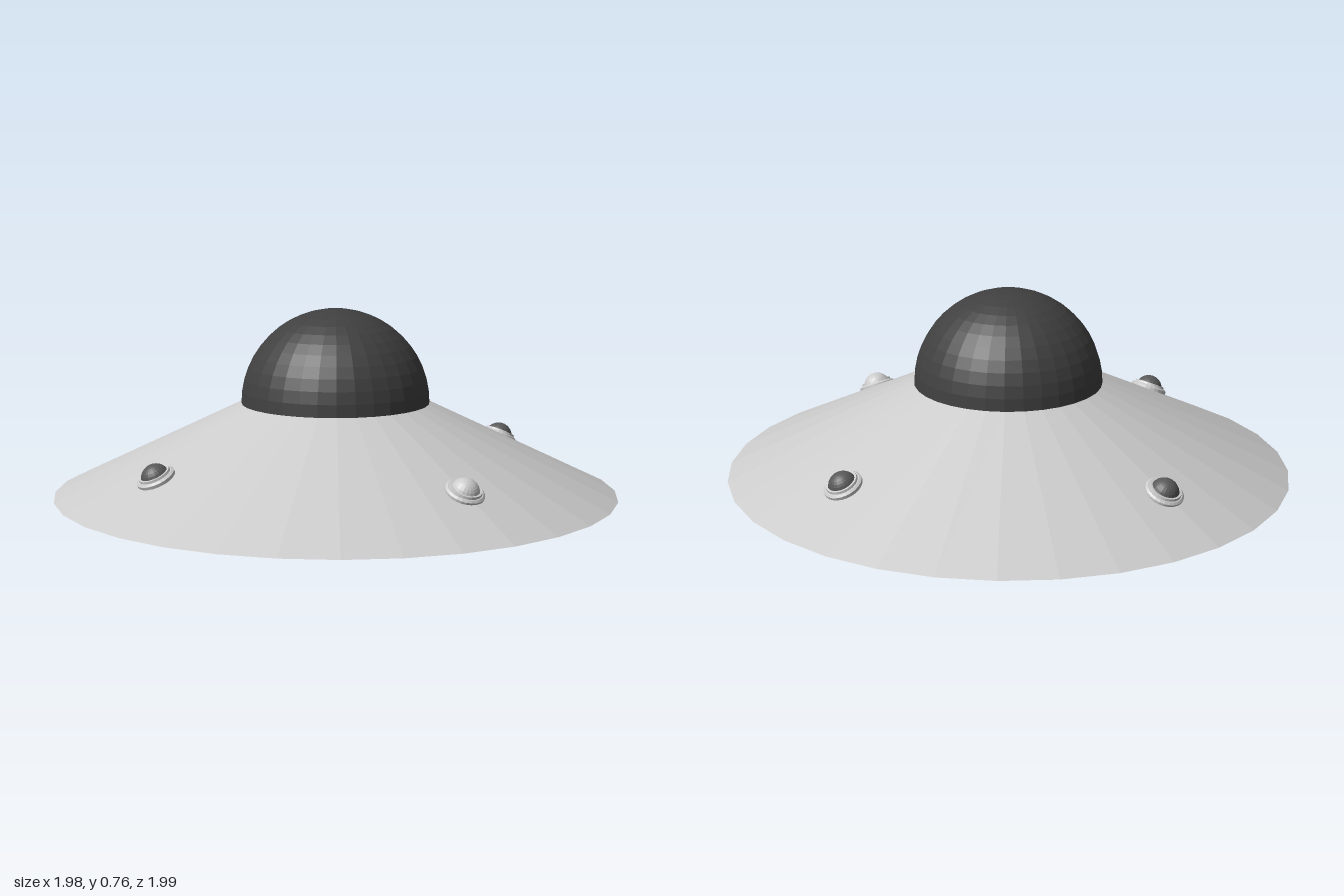
import * as THREE from 'three';

const SIDES = 32;

function material(color) {
  return new THREE.MeshStandardMaterial({ color, flatShading: true });
}

function part(name, geometry, mat, y = 0) {
  const mesh = new THREE.Mesh(geometry, mat);
  mesh.name = name;
  mesh.position.y = y;
  return mesh;
}

// Upper half of a sphere, closed underneath by the part it sits on
function domeGeometry(radius, sides, rings) {
  return new THREE.SphereGeometry(radius, sides, rings, 0, Math.PI * 2, 0, Math.PI / 2);
}

export function createModel() {
  const grey = material(0xcccccc);
  const dark = material(0x404040);
  const lampDark = material(0x595959);
  const model = new THREE.Group();
  model.name = 'flyingSaucer';

  const rimY = 0.115, rimR = 0.995, neckY = 0.435, neckR = 0.33, baseR = 0.42;

  // Hull: wide sloping disc and the tapered base below it
  const disc = part('disc', new THREE.CylinderGeometry(neckR, rimR, neckY - rimY, SIDES), grey, (rimY + neckY) / 2);
  disc.scale.x = 0.993;
  model.add(disc);
  model.add(part('base', new THREE.CylinderGeometry(0.55, baseR, rimY, SIDES), grey, rimY / 2));

  // Cockpit dome
  model.add(part('dome', domeGeometry(neckR, SIDES, 12), dark, neckY));

  // Four lamps standing square to the slope; the front one is pale
  const slope = Math.atan2(neckY - rimY, rimR - neckR);
  const collar = [[0.067, -0.012], [0.067, 0.006], [0.06, 0.012], [0.056, 0.012], [0.054, 0.02], [0.047, 0.02]]
    .map(([r, h]) => new THREE.Vector2(r, h));
  const lamps = [['front', 0.735], ['left', 0.74], ['back', 0.75], ['right', 0.722]];
  lamps.forEach(([side, radius], i) => {
    const arm = new THREE.Group();
    arm.name = side + 'Lamp';
    arm.rotation.y = i * Math.PI / 2;
    const lamp = new THREE.Group();
    lamp.position.set(0, rimY + (rimR - radius) * Math.tan(slope), radius);
    lamp.rotation.x = slope;
    lamp.add(part('lampCollar', new THREE.LatheGeometry(collar, 24), grey));
    lamp.add(part('lampBulb', domeGeometry(0.05, 20, 8), side === 'front' ? grey : lampDark));
    arm.add(lamp);
    model.add(arm);
  });

  return model;
}
